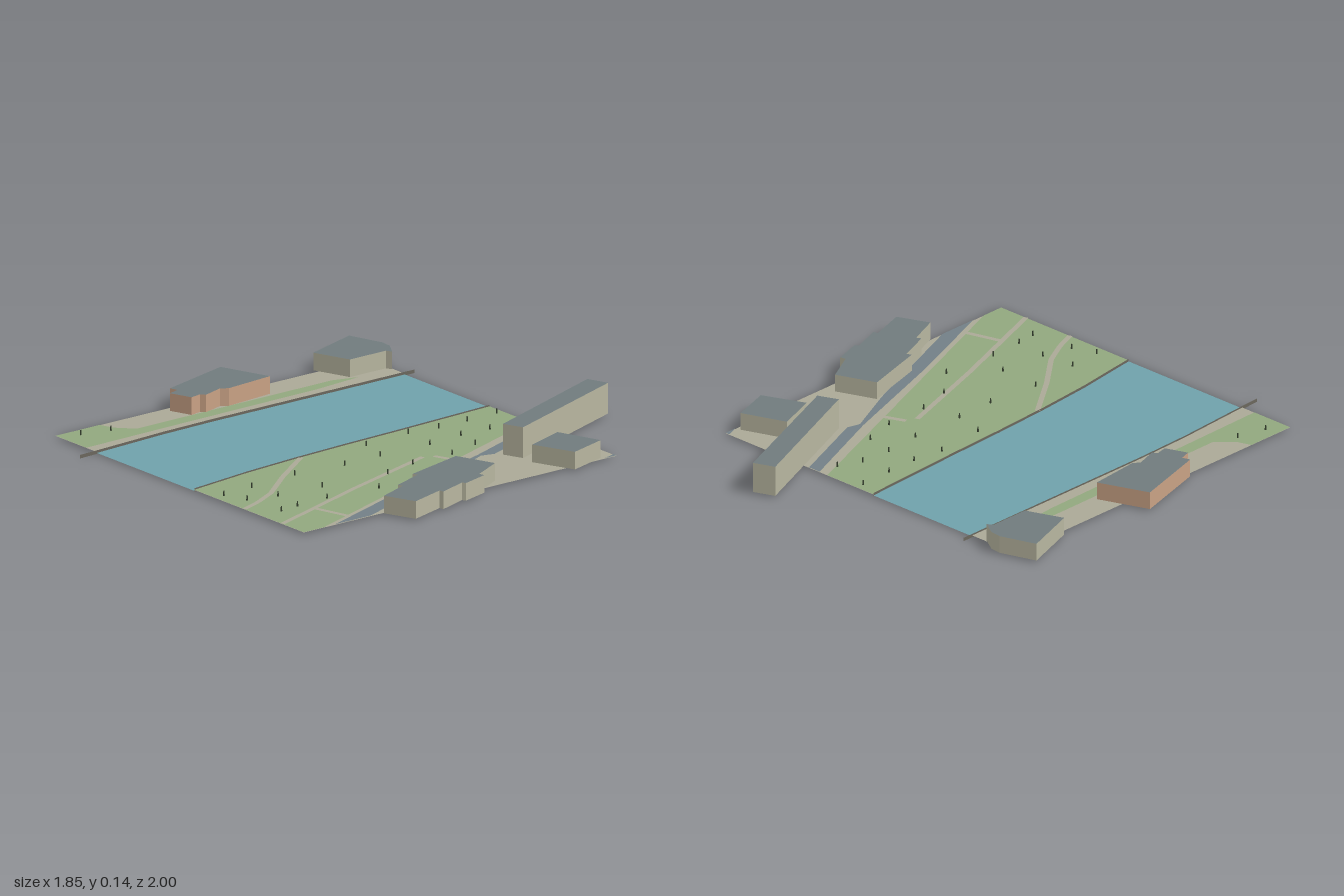
import * as THREE from 'three';

const mat = (name, color) => Object.assign(
  new THREE.MeshStandardMaterial({ color, side: THREE.DoubleSide }), { name });

const M = {
  land: mat('paving', 0xaaa896),
  water: mat('water', 0x6fa1aa),
  grass: mat('grass', 0x91a77e),
  road: mat('asphalt', 0x727f86),
  roof: mat('roof slate', 0x707b7d),
  wall: mat('pale wall', 0xb7b59f),
  tan: mat('tan wall', 0xc8a184),
  quay: mat('quay stone', 0x6b675d),
  tree: mat('tree', 0x36402f),
};

// Heights of the stacked layers
const WATER = 0.004, LAND = 0.008, GRASS = 0.009, PATH = 0.0105;
const X0 = -0.815, X1 = 0.78, Z0 = -0.685, Z1 = 0.91;

// Flat horizontal polygon from [x, z] points
function flat(name, points, y, material) {
  const shape = new THREE.Shape(points.map(([x, z]) => new THREE.Vector2(x, -z)));
  const geo = new THREE.ShapeGeometry(shape).rotateX(-Math.PI / 2).translate(0, y, 0);
  const mesh = new THREE.Mesh(geo, material);
  mesh.name = name;
  return mesh;
}

// Upright ribbon following [x, z] points
function upright(name, points, y0, y1, material) {
  const pos = [];
  for (let i = 0; i < points.length - 1; i++) {
    const [ax, az] = points[i], [bx, bz] = points[i + 1];
    pos.push(ax, y0, az, ax, y1, az, bx, y1, bz, ax, y0, az, bx, y1, bz, bx, y0, bz);
  }
  const geo = new THREE.BufferGeometry();
  geo.setAttribute('position', new THREE.Float32BufferAttribute(pos, 3));
  geo.computeVertexNormals();
  const mesh = new THREE.Mesh(geo, material);
  mesh.name = name;
  return mesh;
}

// Path of constant width along [x, z] points
function strip(name, points, width, y, material) {
  const left = [], right = [];
  points.forEach(([x, z], i) => {
    const a = points[Math.max(i - 1, 0)], b = points[Math.min(i + 1, points.length - 1)];
    const dx = b[0] - a[0], dz = b[1] - a[1], k = width / 2 / Math.hypot(dx, dz);
    left.push([x - dz * k, z + dx * k]);
    right.unshift([x + dz * k, z - dx * k]);
  });
  return flat(name, [...left, ...right], y, material);
}

// Open-bottomed block: walls and a flat roof
function building(name, outline, height, wallMaterial) {
  const group = new THREE.Group();
  group.name = name;
  group.add(
    upright(name + 'Walls', [...outline, outline[0]], LAND, height, wallMaterial),
    flat(name + 'Roof', outline, height, M.roof));
  return group;
}

export function createModel() {
  const model = new THREE.Group();
  model.name = 'riverside';

  // River and banks
  const westBank = [[-0.58, Z0], [-0.58, 0.3], [-0.573, 0.56], [-0.55, Z1]];
  const eastBank = [[-0.035, Z0], [-0.01, -0.18], [0, 0.08], [0.015, 0.35], [0.037, 0.61], [0.077, Z1]];
  model.add(
    flat('river', [...westBank, ...[...eastBank].reverse()], WATER, M.water),
    flat('westLand', [[X0, Z0], ...westBank, [X0, Z1]], LAND, M.land),
    flat('eastLand', [...eastBank, [X1, Z1], [X1, Z0]], LAND, M.land),
    upright('westQuay', [[-0.58, -0.735], ...westBank, [-0.545, 1]], 0, 0.015, M.quay),
    upright('eastQuay', eastBank, 0, 0.015, M.quay));

  // Lawns
  model.add(
    flat('park', [...eastBank, [X1, Z1], [X1, 0.81], [0.22, Z0]], GRASS, M.grass),
    flat('westLawn', [[-0.657, -0.51], [-0.637, -0.29], [-0.627, 0.4], [-0.617, Z1],
      [X0, Z1], [X0, 0.685], [-0.755, 0.665], [-0.685, 0.6], [-0.69, -0.4]], GRASS, M.grass));

  // Road and its far corner
  model.add(
    flat('road', [[0.262, Z0], [0.43, -0.257], [0.61, 0.293], [X1, 0.75], [X1, 0.57],
      [0.558, -0.013], [0.447, -0.257], [0.463, -0.315], [0.32, Z0]], PATH, M.road),
    flat('roadCorner', [[0.76, Z0], [X1, Z0], [X1, -0.627]], PATH, M.road));

  // Park paths
  [
    [[0.018, 0.32], [0.167, 0.53], [0.304, 0.7], [0.362, 0.81], [0.4, Z1]],
    [[0.315, -0.065], [0.463, 0.4], [0.643, Z1]],
    [[0.335, -0.108], [0.43, -0.145]],
    [[0.57, 0.685], [0.72, 0.643]],
  ].forEach((p, i) => model.add(strip('path' + (i + 1), p, 0.022, PATH, M.land)));

  // Buildings
  const low = 0.082;
  model.add(
    building('northWestHouse', [[-0.925, -0.675], [-0.77, -0.725], [-0.72, -0.72], [-0.655, -0.68],
      [-0.68, -0.668], [-0.68, -0.485], [-0.84, -0.425]], low, M.wall),
    building('westHouse', [[-0.927, -0.02], [-0.71, -0.1], [-0.69, 0.125], [-0.71, 0.155], [-0.68, 0.25],
      [-0.7, 0.265], [-0.69, 0.315], [-0.785, 0.35], [-0.8, 0.3], [-0.835, 0.31]], low, M.tan),
    building('longBlock', [[0.24, -0.965], [0.33, -1], [0.57, -0.375], [0.485, -0.34]], 0.137, M.wall),
    building('northEastHouse', [[0.57, -0.55], [0.76, -0.62], [0.815, -0.445], [0.635, -0.37]], low, M.wall),
    building('eastTerrace', [[0.56, -0.04], [0.73, -0.105], [0.8, 0.03], [0.825, 0.025], [0.86, 0.145],
      [0.845, 0.155], [0.89, 0.285], [0.87, 0.29], [0.92, 0.45], [0.785, 0.505], [0.73, 0.365],
      [0.71, 0.375], [0.655, 0.23], [0.635, 0.24]], low, M.wall));

  // Tiny trees
  const treeGeo = new THREE.CylinderGeometry(0.0025, 0.004, 0.021, 6).translate(0, GRASS + 0.0105, 0);
  [
    [0.055, -0.65], [0.245, -0.6], [0.06, -0.495], [0.2, -0.5], [0.06, -0.35], [0.19, -0.36], [0.32, -0.33],
    [0.04, -0.21], [0.205, -0.19], [0.36, -0.18], [0.06, 0.02], [0.2, 0.06], [0.36, 0.02],
    [0.205, 0.245], [0.4, 0.18], [0.52, 0.32], [0.18, 0.48], [0.37, 0.49], [0.495, 0.565],
    [0.2, 0.715], [0.35, 0.7], [0.21, 0.865], [0.315, 0.83], [0.51, 0.81], [0.5, 0.72],
    [-0.73, 0.695], [-0.76, 0.825],
  ].forEach(([x, z]) => {
    const tree = new THREE.Mesh(treeGeo, M.tree);
    tree.name = 'tree';
    tree.position.set(x, 0, z);
    model.add(tree);
  });

  return model;
}
